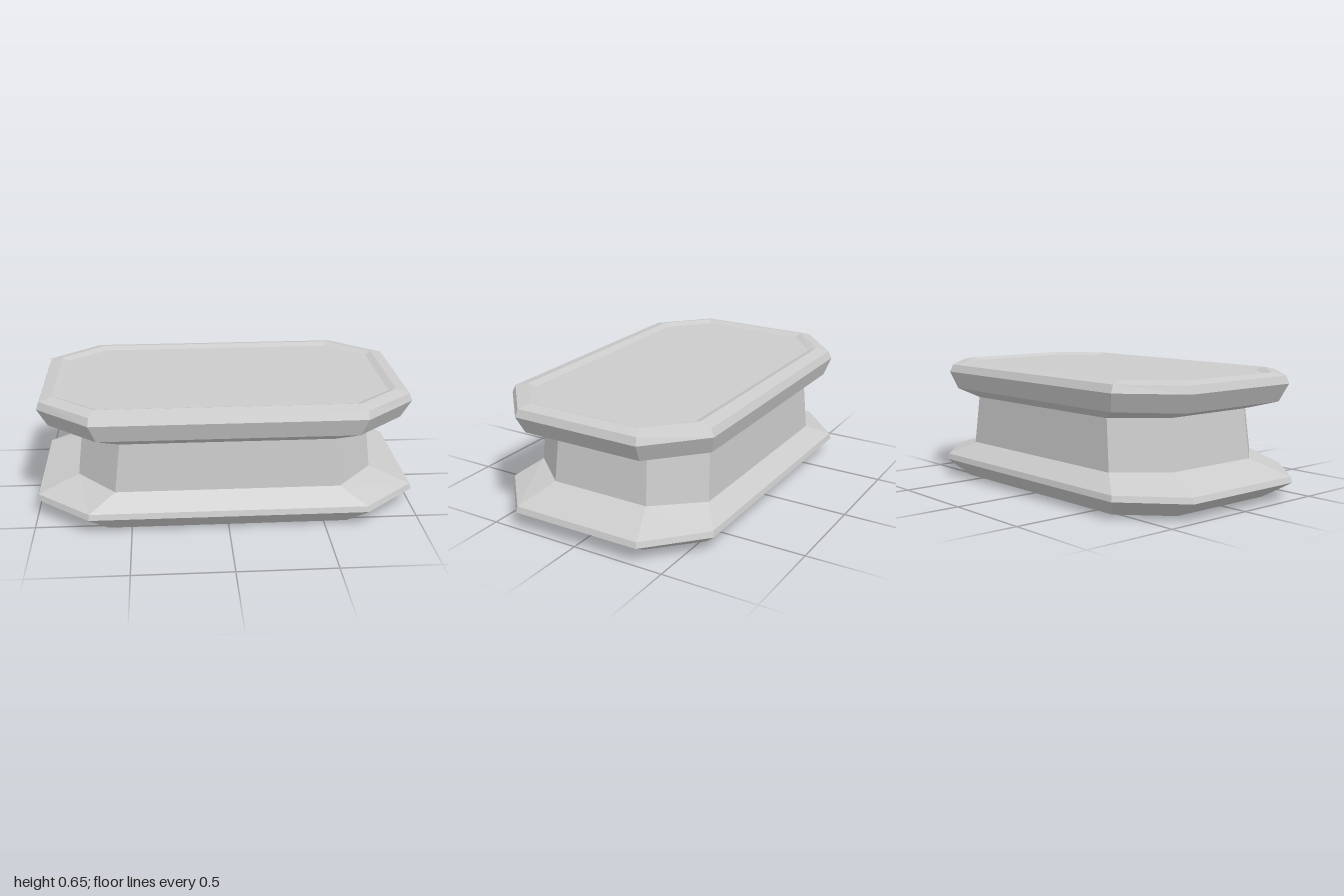
import * as THREE from 'three';

const material = new THREE.MeshStandardMaterial({ color: 0xcccccc, flatShading: true });

// Chamfered-rectangle ring: half width, half depth, and where the corner cuts begin
function ring([y, hx, hz, cx, cz]) {
  return [
    [hx, cz], [cx, hz], [-cx, hz], [-hx, cz],
    [-hx, -cz], [-cx, -hz], [cx, -hz], [hx, -cz],
  ].map(([x, z]) => [x, y, z]);
}

// Skin a stack of rings from bottom to top, optionally closing either end
function loft(name, sections, { capBottom = false, capTop = false } = {}) {
  const rings = sections.map(ring);
  const n = 8;
  const pos = [];
  const tri = (a, b, c) => pos.push(...a, ...b, ...c);
  for (let r = 0; r < rings.length - 1; r++) {
    const lo = rings[r], hi = rings[r + 1];
    for (let i = 0; i < n; i++) {
      const j = (i + 1) % n;
      tri(lo[i], hi[j], lo[j]);
      tri(lo[i], hi[i], hi[j]);
    }
  }
  const first = rings[0], last = rings[rings.length - 1];
  for (let i = 1; i < n - 1; i++) {
    if (capBottom) tri(first[0], first[i], first[i + 1]);
    if (capTop) tri(last[0], last[i + 1], last[i]);
  }
  const geometry = new THREE.BufferGeometry();
  geometry.setAttribute('position', new THREE.Float32BufferAttribute(pos, 3));
  geometry.computeVertexNormals();
  const mesh = new THREE.Mesh(geometry, material);
  mesh.name = name;
  return mesh;
}

export function createModel() {
  const group = new THREE.Group();
  group.name = 'pedestal';

  // Sections: [y, halfWidth, halfDepth, cutX, cutZ]
  const columnFoot = [0.2, 0.78, 0.513, 0.58, 0.277];
  const columnHead = [0.46, 0.75, 0.5, 0.55, 0.265];

  // Flared foot with a thin rim
  group.add(loft('base', [
    [0.003, 0.845, 0.525, 0.62, 0.31],
    [0.095, 1.0, 0.617, 0.717, 0.36],
    [0.125, 0.99, 0.61, 0.712, 0.358],
    columnFoot,
  ], { capBottom: true }));

  // Slightly tapering waist
  group.add(loft('column', [columnFoot, columnHead]));

  // Bevelled slab with a shallow sunken panel on top
  group.add(loft('tabletop', [
    columnHead,
    [0.506, 0.918, 0.57, 0.66, 0.335],
    [0.6, 0.97, 0.6, 0.695, 0.35],
    [0.64, 0.955, 0.582, 0.69, 0.345],
    [0.655, 0.89, 0.515, 0.668, 0.313],
    [0.64, 0.855, 0.475, 0.65, 0.298],
  ], { capTop: true }));

  // Two-fold wind order: every ring runs the same way, so flip faces outward once
  group.traverse((o) => {
    if (!o.isMesh) return;
    const p = o.geometry.attributes.position;
    const a = new THREE.Vector3(), b = new THREE.Vector3(), c = new THREE.Vector3();
    let volume = 0;
    for (let i = 0; i < p.count; i += 3) {
      a.fromBufferAttribute(p, i);
      b.fromBufferAttribute(p, i + 1);
      c.fromBufferAttribute(p, i + 2);
      // Sideways part of the face normal against its outward direction
      const nrm = b.clone().sub(a).cross(c.clone().sub(a));
      volume += nrm.x * a.x + nrm.z * a.z;
    }
    if (volume < 0) {
      for (let i = 0; i < p.count; i += 3) {
        b.fromBufferAttribute(p, i + 1);
        c.fromBufferAttribute(p, i + 2);
        p.setXYZ(i + 1, c.x, c.y, c.z);
        p.setXYZ(i + 2, b.x, b.y, b.z);
      }
      o.geometry.computeVertexNormals();
    }
  });
  return group;
}
